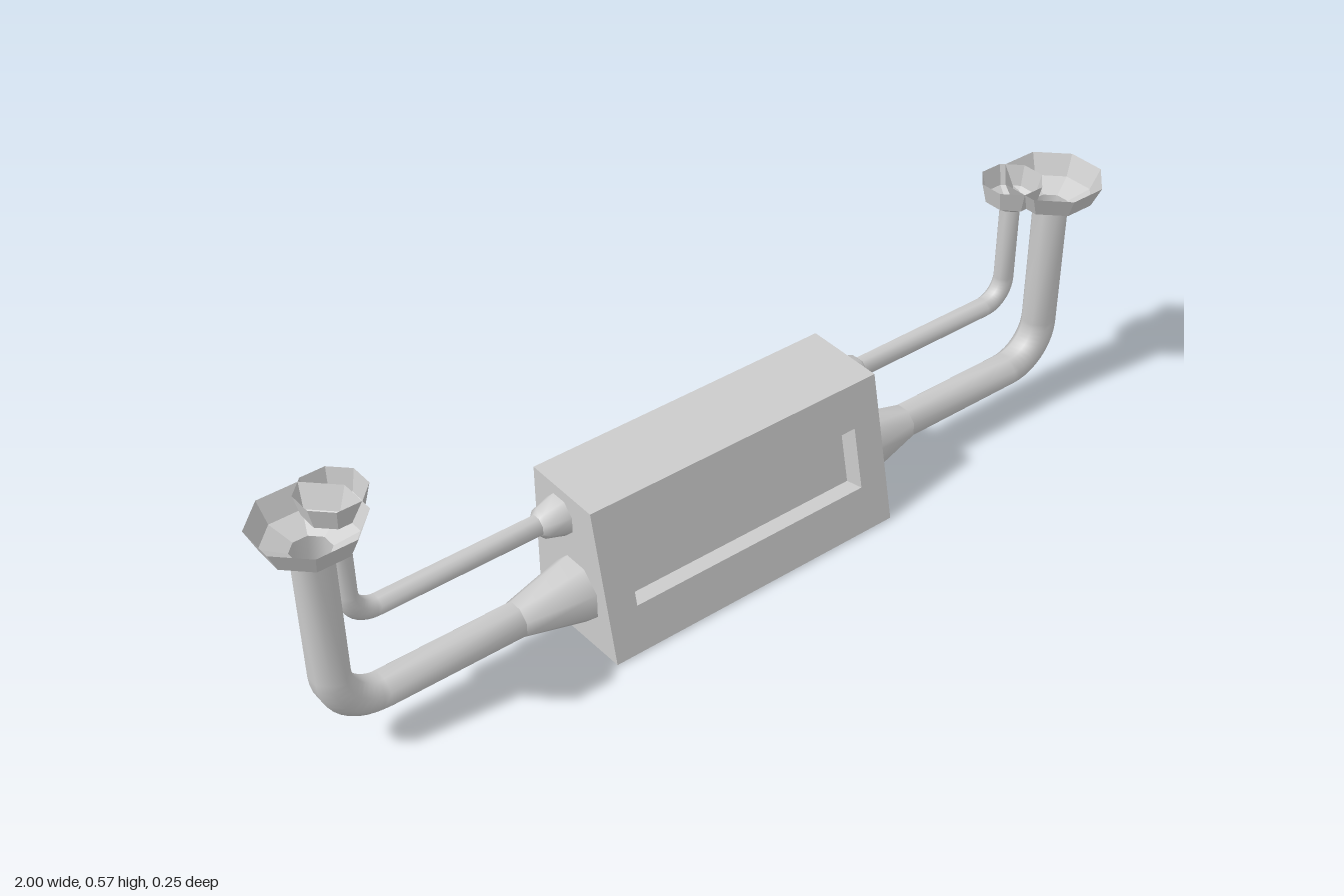
import * as THREE from 'three';

const smooth = new THREE.MeshStandardMaterial({ color: 0xcccccc, side: THREE.DoubleSide });
const faceted = new THREE.MeshStandardMaterial({ color: 0xcccccc, side: THREE.DoubleSide, flatShading: true });

// Skin a list of equal-length point rings; optionally close both ends, or flip for a mirrored part
function loft(name, rings, material, { caps = false, flip = false } = {}) {
  const n = rings[0].length;
  const index = [];
  const tri = (a, b, c) => (flip ? index.push(a, c, b) : index.push(a, b, c));
  for (let i = 0; i < rings.length - 1; i++) {
    for (let j = 0; j < n; j++) {
      const k = (j + 1) % n;
      const a = i * n + j, b = i * n + k, c = b + n, d = a + n;
      tri(a, b, c);
      tri(a, c, d);
    }
  }
  if (caps) {
    const last = (rings.length - 1) * n;
    for (let j = 1; j < n - 1; j++) {
      tri(0, j + 1, j);
      tri(last, last + j, last + j + 1);
    }
  }
  const geometry = new THREE.BufferGeometry();
  geometry.setAttribute('position', new THREE.Float32BufferAttribute(rings.flat(2), 3));
  geometry.setIndex(index);
  geometry.computeVertexNormals();
  const mesh = new THREE.Mesh(geometry, material);
  mesh.name = name;
  return mesh;
}

// Octagon of flat-to-centre radius r around (x, y, z), facing along angle in the xy plane
function octagon(side, x, y, z, r, angle) {
  const R = r / Math.cos(Math.PI / 8);
  return Array.from({ length: 8 }, (_, j) => {
    const t = (j + 0.5) * Math.PI / 4;
    const u = R * Math.cos(t);
    return [side * (x - Math.sin(angle) * u), y + Math.cos(angle) * u, z + R * Math.sin(t)];
  });
}

// Wedge-shaped housing with a sunken panel in its sloping front
function housing() {
  const frontZ = (y) => 0.126 - 0.2115 * (y - 0.004);
  const rect = (w, y0, z0, y1, z1) => [[-w, y0, z0], [w, y0, z0], [w, y1, z1], [-w, y1, z1]];
  const [lo, hi, depth] = [0.105, 0.24, 0.045];
  const dy = depth * 0.207, dz = depth * 0.978;
  return loft('housing', [
    rect(0.357, 0, -0.126, 0.338, -0.126),
    rect(0.357, 0.004, 0.126, 0.335, frontZ(0.335)),
    rect(0.29, lo, frontZ(lo), hi, frontZ(hi)),
    rect(0.29, lo - dy, frontZ(lo) - dz, hi - dy, frontZ(hi) - dz),
  ], faceted, { caps: true });
}

// One bent pipe with its collar at the housing and its open cup on top
function pipeRun(name, side, p) {
  const group = new THREE.Group();
  group.name = name;
  const opts = { flip: side < 0 };
  const along = (x, r) => octagon(side, x, p.y, p.z, r, 0);
  const up = (y, r) => octagon(side, p.x, y, p.z, r, Math.PI / 2);

  const collar = p.collar.map(([x, r]) => along(x, r));
  group.add(loft('collar', collar, smooth, opts));

  const rings = [along(p.collar.at(-1)[0], p.r)];
  const steps = 10;
  for (let i = 0; i <= steps; i++) {
    const a = (i / steps) * Math.PI / 2;
    rings.push(octagon(side, p.x - p.bend + p.bend * Math.sin(a),
      p.y + p.bend - p.bend * Math.cos(a), p.z, p.r, a));
  }
  rings.push(up(0.502, p.r));
  group.add(loft('pipe', rings, smooth, opts));

  group.add(loft('cup', p.cup.map(([y, r]) => up(y, r)), faceted, opts));
  return group;
}

export function createModel() {
  const model = new THREE.Group();
  model.name = 'model';
  model.add(housing());

  const large = {
    x: 0.9, y: 0.115, z: 0, r: 0.036, bend: 0.1,
    collar: [[0.355, 0.067], [0.5, 0.036]],
    cup: [[0.502, 0.036], [0.523, 0.081], [0.568, 0.1]],
  };
  const small = {
    x: 0.825, y: 0.271, z: -0.046, r: 0.021, bend: 0.06,
    collar: [[0.355, 0.042], [0.4, 0.03], [0.41, 0.021]],
    cup: [[0.502, 0.021], [0.523, 0.052], [0.568, 0.062]],
  };
  for (const [label, side] of [['left', 1], ['right', -1]]) {
    model.add(pipeRun(`${label}LargePipe`, side, large));
    model.add(pipeRun(`${label}SmallPipe`, side, small));
  }
  return model;
}
